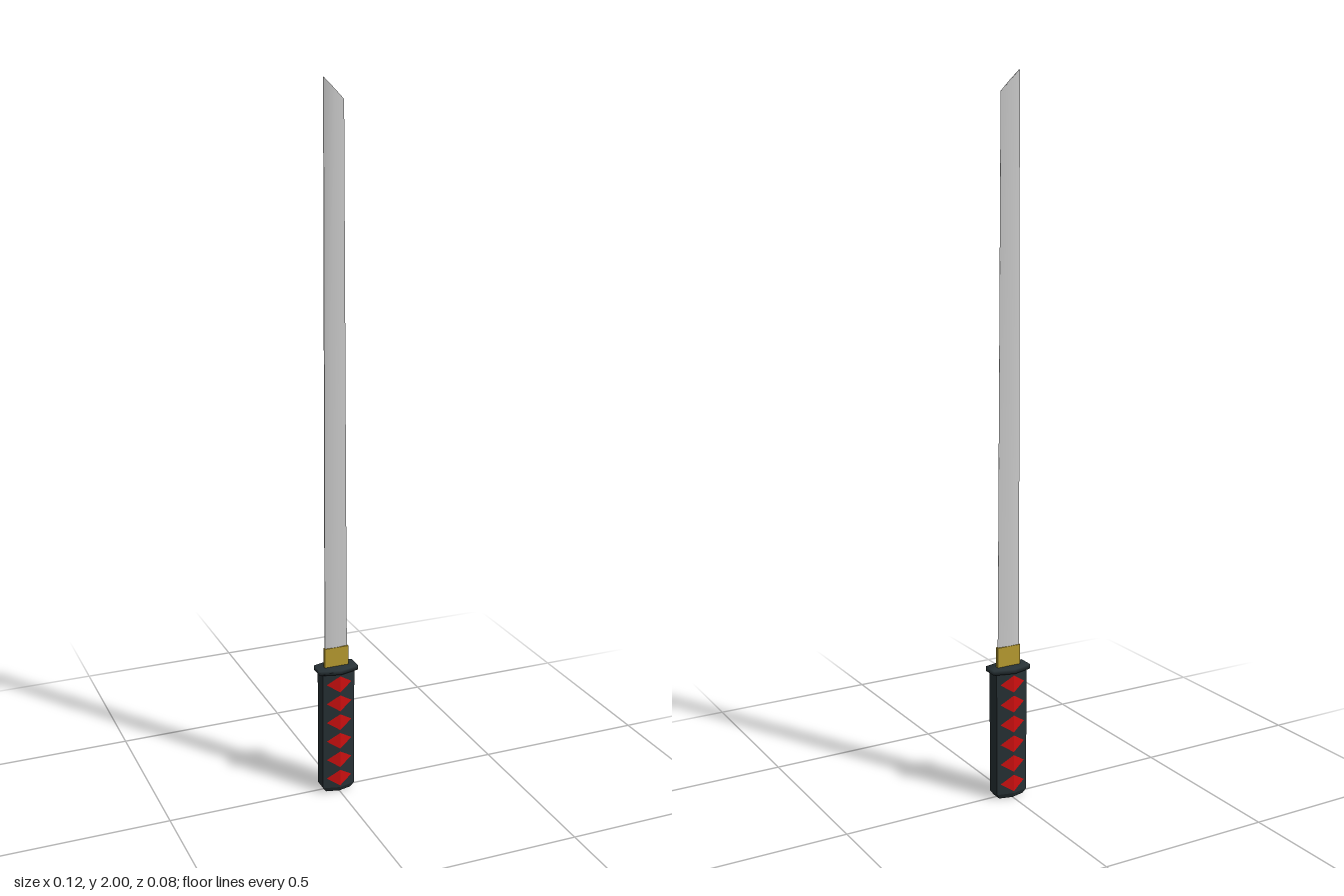
import * as THREE from 'three';

// Skin convex rings of [x, y, z] points (counter-clockwise from above), with end caps
function loft(rings, smooth = false) {
  const n = rings[0].length, last = (rings.length - 1) * n, index = [];
  for (let r = 0; r < rings.length - 1; r++) {
    for (let i = 0; i < n; i++) {
      const a = r * n + i, b = r * n + (i + 1) % n;
      index.push(a, b, b + n, a, b + n, a + n);
    }
  }
  for (let i = 1; i < n - 1; i++) {
    index.push(0, i + 1, i, last, last + i, last + i + 1);
  }
  let geo = new THREE.BufferGeometry();
  geo.setAttribute('position', new THREE.Float32BufferAttribute(rings.flat(2), 3));
  geo.setIndex(index);
  if (!smooth) geo = geo.toNonIndexed();
  geo.computeVertexNormals();
  return geo;
}

// Hexagonal ring: half width w, half depth s at the sides, d at the middle ridge
const hexRing = (y, w, s, d) => [
  [w, y, -s], [0, y, -d], [-w, y, -s], [-w, y, s], [0, y, d], [w, y, s],
];

export function createModel() {
  const model = new THREE.Group();
  model.name = 'sword';
  const steel = new THREE.MeshStandardMaterial({ color: 0xcccccc });
  const gold = new THREE.MeshStandardMaterial({ color: 0xb89c30 });
  const black = new THREE.MeshStandardMaterial({ color: 0x283236 });
  const red = new THREE.MeshStandardMaterial({ color: 0xd01010 });

  const add = (name, geo, mat, parent = model) => {
    const mesh = new THREE.Mesh(geo, mat);
    mesh.name = name;
    parent.add(mesh);
    return mesh;
  };

  // Grip: long hexagonal prism with a chamfered butt
  const W = 0.048, S = 0.02, D = 0.032;
  add('grip', loft([
    hexRing(0, W * 0.8, S * 0.8, D * 0.8),
    hexRing(0.014, W, S, D),
    hexRing(0.374, W, S, D),
  ]), black);

  // Wrap diamonds folded over the ridge on both faces
  const diamonds = new THREE.Group();
  diamonds.name = 'gripDiamonds';
  model.add(diamonds);
  const dw = 0.038, dh = 0.025, lift = 0.0008;
  const zRidge = D + lift, zSide = D + lift - (D - S) * dw / W;
  const diamond = new THREE.BufferGeometry();
  diamond.setAttribute('position', new THREE.Float32BufferAttribute([
    0, -dh, zRidge, dw, 0, zSide, 0, dh, zRidge,
    0, -dh, zRidge, 0, dh, zRidge, -dw, 0, zSide,
  ], 3));
  diamond.computeVertexNormals();
  for (let i = 0; i < 6; i++) {
    for (const turn of [0, Math.PI]) {
      const mesh = add('gripDiamond', diamond, red, diamonds);
      mesh.position.y = 0.045 + i * 0.059;
      mesh.rotation.y = turn;
    }
  }

  // Hexagonal hand guard
  add('guard', loft([
    hexRing(0.372, 0.058, 0.023, 0.039),
    hexRing(0.385, 0.058, 0.023, 0.039),
  ], true), black);

  // Collar at the blade root
  const collar = add('collar', new THREE.BoxGeometry(0.072, 0.06, 0.011), gold);
  collar.position.y = 0.412;

  // Blade: flat spine at -x, ridge in the middle, cutting edge at +x, slanted tip
  const bladeRing = (edge, ridge, yAt) => [
    [edge, 0.0006], [edge, -0.0006], [ridge, -0.004], [-0.034, -0.0025], [-0.034, 0.0025], [ridge, 0.004],
  ].map(([x, z]) => [x, yAt(x), z]);
  add('blade', loft([
    bladeRing(0.033, 0, () => 0.43),
    bladeRing(0.022, -0.004, (x) => 1.945 + (0.022 - x) * 0.982),
  ], true), steel);

  return model;
}
